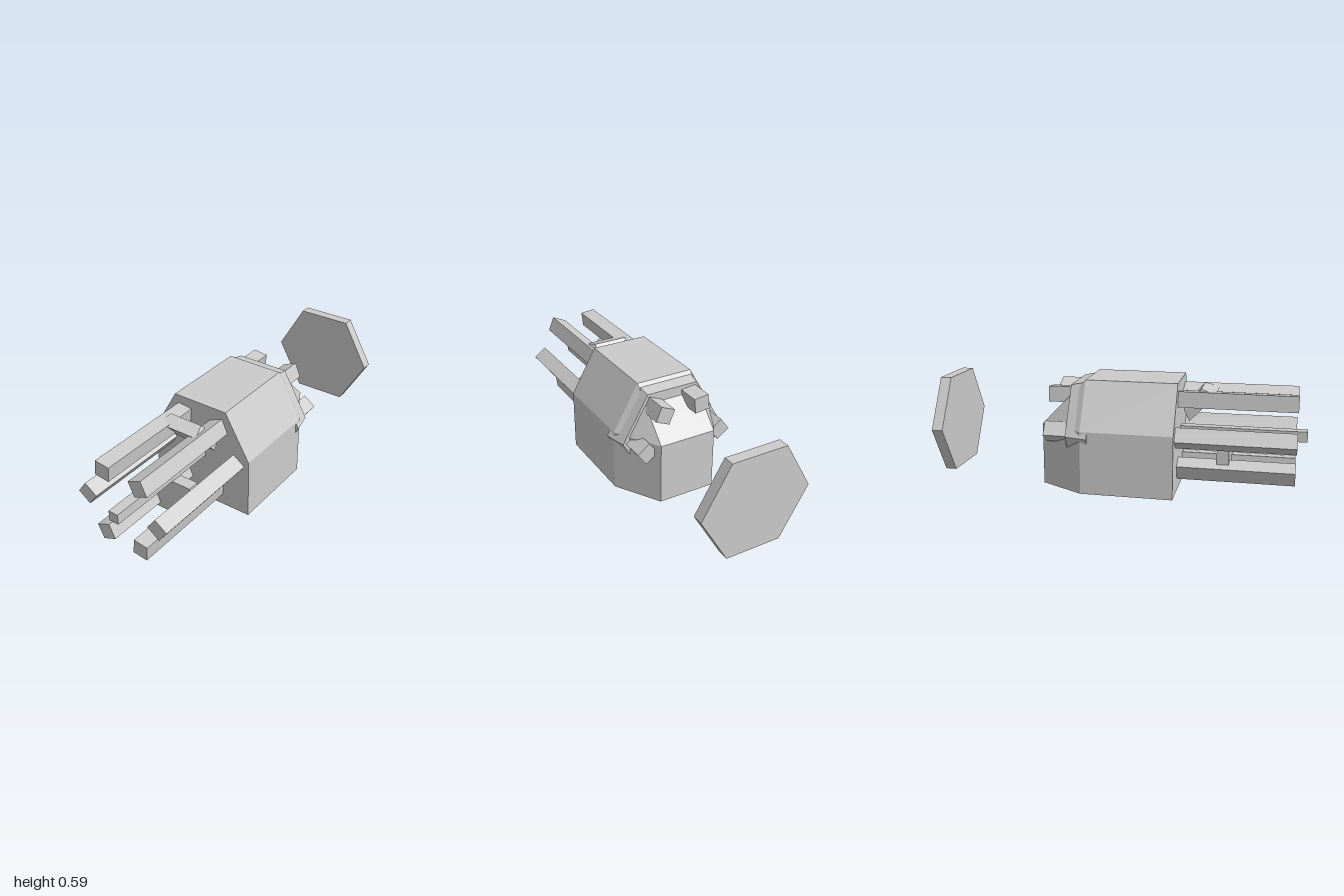
import * as THREE from 'three';
import { ConvexGeometry } from 'three/addons/geometries/ConvexGeometry.js';

const AXIS_Y = 0.305; // height of the long axis
const material = new THREE.MeshStandardMaterial({ color: 0xcccccc, flatShading: true });

function part(name, geometry, x = 0, y = 0, z = 0) {
  const mesh = new THREE.Mesh(geometry, material);
  mesh.name = name;
  mesh.position.set(x, y, z);
  return mesh;
}

// Convex solid from [halfWidth, y, z] corners, mirrored across x
function mirroredHull(corners) {
  return new ConvexGeometry(corners.flatMap(([x, y, z]) =>
    [new THREE.Vector3(x, y, z), new THREE.Vector3(-x, y, z)]));
}

// Six-sided plate along z, points to the left and right, flat on top
function hexPlate(frontRadius, backRadius, depth) {
  return new THREE.CylinderGeometry(frontRadius, backRadius, depth, 6)
    .rotateY(Math.PI / 6).rotateX(Math.PI / 2);
}

export function createModel() {
  const model = new THREE.Group();
  model.name = 'model';

  // Hull with sloped shoulders and a tapered tail
  model.add(part('body', mirroredHull([
    [0.303, 0, 0.325], [0.303, 0.34, 0.325], [0.16, 0.59, 0.325],
    [0.303, 0, -0.17], [0.303, 0.34, -0.17], [0.16, 0.59, -0.17],
    [0.16, 0, -0.413], [0.16, 0.34, -0.413],
  ])));

  // Hexagonal collar near the tail
  model.add(part('collar', hexPlate(0.322, 0.293, 0.122), 0, AXIS_Y, -0.192));

  // Ring of six square bars running through the body
  const bars = new THREE.Group();
  bars.name = 'bars';
  for (let i = 0; i < 6; i++) {
    const angle = THREE.MathUtils.degToRad(60 * i - 2.3);
    const bar = part('bar', new THREE.BoxGeometry(0.084, 0.084, 1.325),
      0.218 * Math.cos(angle), AXIS_Y + 0.218 * Math.sin(angle), 0.283);
    bar.rotation.z = angle - THREE.MathUtils.degToRad(34);
    bars.add(bar);
  }
  model.add(bars);

  // Thin centre rod
  model.add(part('centreRod', new THREE.BoxGeometry(0.056, 0.057, 0.7), 0, 0.304, 0.65));

  // Upright lower plate under the rod
  model.add(part('lowerPlate', new THREE.BoxGeometry(0.273, 0.205, 0.065), 0, 0.1725, 0.567));

  // Leaning upper plate, narrower at its top edge
  model.add(part('upperPlate', mirroredHull([
    [0.136, 0.385, 0.385], [0.136, 0.505, 0.497], [0.122, 0.53, 0.52],
    [0.095, 0.553, 0.44], [0.136, 0.45, 0.355],
  ])));

  // Separate hexagonal disc behind the body
  model.add(part('rearDisc', hexPlate(0.305, 0.305, 0.06), 0, AXIS_Y, -0.97));

  return model;
}
